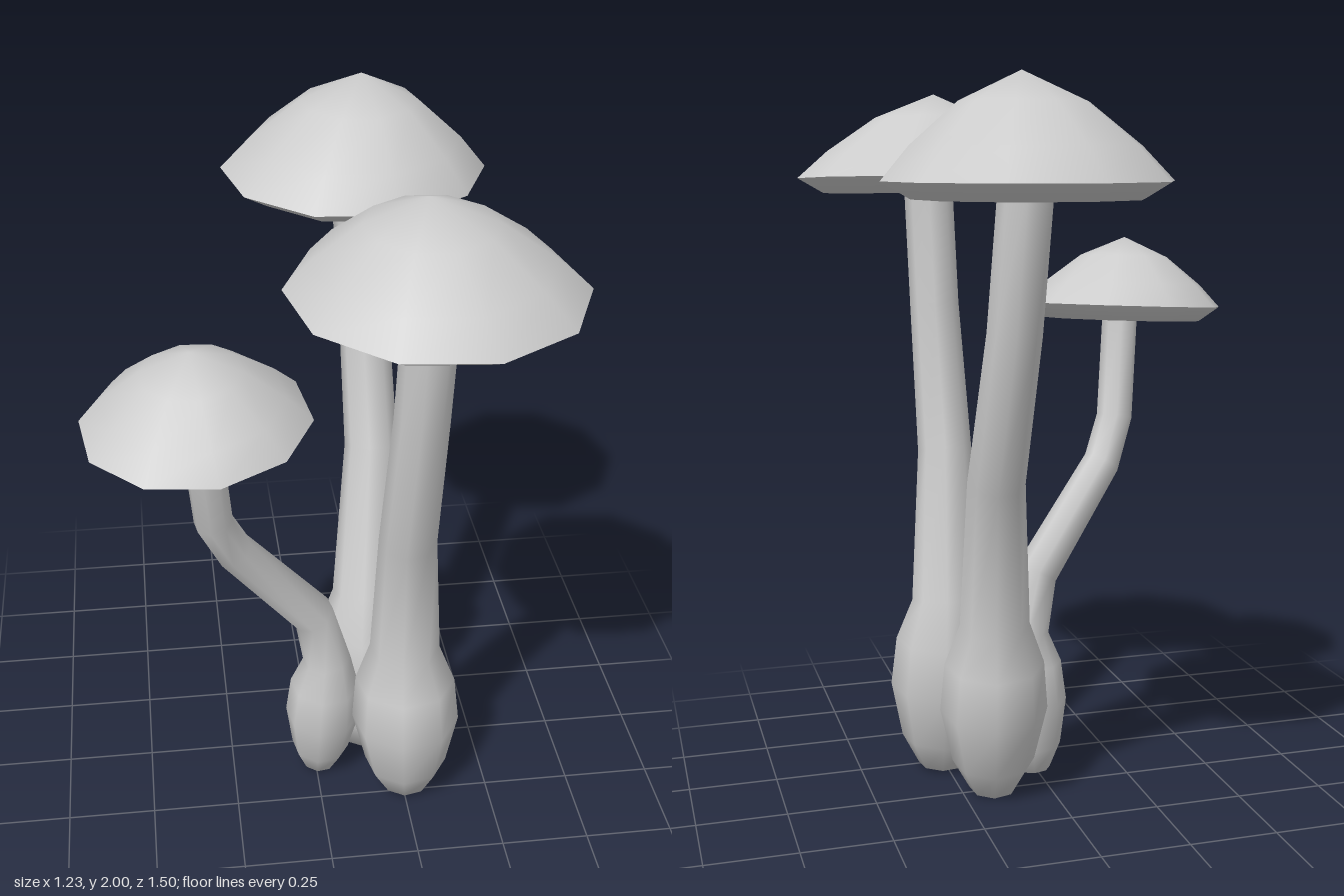
import * as THREE from 'three';
import { toCreasedNormals } from 'three/addons/utils/BufferGeometryUtils.js';

const material = new THREE.MeshStandardMaterial({ color: 0xcccccc });

// Swollen foot: [share of foot height, share of bulb radius]
const footProfile = [[0, 0], [0.02, 0.45], [0.19, 0.77], [0.5, 1], [0.77, 0.92], [1, 0.64]];
// Domed top of the cap: [share of cap radius, share of cap height]
const domeProfile = [[1, 0], [0.79, 0.32], [0.44, 0.72], [0, 1]];

// Skin a surface over rings { centre, radius }, listed so the skin faces outward.
// With bend = true each ring is turned square to the path.
function loft(rings, sides, turn, bend) {
  const up = new THREE.Vector3(0, 1, 0);
  const positions = [], index = [];
  rings.forEach(({ centre, radius }, i) => {
    const q = new THREE.Quaternion();
    if (bend) {
      const before = rings[Math.max(i - 1, 0)].centre;
      const after = rings[Math.min(i + 1, rings.length - 1)].centre;
      q.setFromUnitVectors(up, after.clone().sub(before).normalize());
    }
    for (let s = 0; s < sides; s++) {
      const a = turn + (s / sides) * Math.PI * 2;
      const p = new THREE.Vector3(radius * Math.cos(a), 0, radius * Math.sin(a));
      positions.push(...p.applyQuaternion(q).add(centre));
    }
    if (i === 0) return;
    for (let s = 0; s < sides; s++) {
      const a = (i - 1) * sides + s, b = (i - 1) * sides + (s + 1) % sides;
      if (rings[i - 1].radius > 0) index.push(a, a + sides, b);
      if (radius > 0) index.push(b, a + sides, b + sides);
    }
  });
  const geometry = new THREE.BufferGeometry();
  geometry.setAttribute('position', new THREE.Float32BufferAttribute(positions, 3));
  geometry.setIndex(index);
  return toCreasedNormals(geometry, 1);
}

// Foot swells between base and neck, then the stem thins along its knots
function createStalk({ base, knots, bulb, stem }) {
  const start = new THREE.Vector3(...base);
  const path = knots.map((k) => new THREE.Vector3(...k));
  const [neck, ...bends] = path;
  const top = path[path.length - 1];
  const neckRadius = bulb * footProfile[footProfile.length - 1][1];

  const rings = footProfile.map(([t, r]) => ({ centre: start.clone().lerp(neck, t), radius: bulb * r }));
  for (const centre of bends) {
    const t = (centre.y - neck.y) / (top.y - neck.y);
    rings.push({ centre, radius: stem + (neckRadius - stem) * (1 - t) ** 3 });
  }
  const stalk = new THREE.Mesh(loft(rings, 8, 0.2, true), material);
  stalk.name = 'stalk';
  return stalk;
}

// Shallow underside, turned-under rim and dome whose tip may sit off centre
function createCap({ rim, radius, height, lean = 0, turn, tiltX = 0, tiltZ = 0 }) {
  const ring = (r, y, x = 0) => ({ centre: new THREE.Vector3(x, y, 0), radius: r });
  const rings = [
    ring(0, 0),
    ring(radius * 0.8, -0.043),
    ...domeProfile.map(([r, h]) => ring(radius * r, height * h, lean * h)),
  ];
  const cap = new THREE.Mesh(loft(rings, 10, turn, false), material);
  cap.name = 'cap';
  cap.position.set(...rim);
  cap.rotation.set(tiltX, 0, tiltZ);
  return cap;
}

function createMushroom(name, stalk, cap) {
  const mushroom = new THREE.Group();
  mushroom.name = name;
  mushroom.add(createStalk(stalk), createCap(cap));
  return mushroom;
}

export function createModel() {
  const group = new THREE.Group();
  group.name = 'mushroomCluster';
  group.add(
    createMushroom('frontMushroom', {
      base: [0.26, 0, 0.22], bulb: 0.156, stem: 0.07,
      knots: [[0.245, 0.52, 0.2], [0.225, 0.95, 0.285], [0.23, 1.37, 0.375], [0.24, 1.74, 0.395]],
    }, {
      rim: [0.25, 1.735, 0.39], radius: 0.365, height: 0.235, lean: -0.03, turn: 0.1, tiltX: 0.03,
    }),
    createMushroom('backMushroom', {
      base: [0.16, 0, 0], bulb: 0.152, stem: 0.07,
      knots: [[0.17, 0.52, -0.07], [0.2, 0.95, -0.21], [0.19, 1.36, -0.36], [0.165, 1.74, -0.385]],
    }, {
      rim: [0.16, 1.737, -0.395], radius: 0.365, height: 0.263, lean: 0.02, turn: 0.1,
    }),
    createMushroom('leftMushroom', {
      base: [0.01, 0, 0.1], bulb: 0.11, stem: 0.052,
      knots: [
        [0.03, 0.43, 0.12], [-0.01, 0.6, 0.13], [-0.235, 0.9, 0.21],
        [-0.29, 1.03, 0.255], [-0.318, 1.35, 0.29],
      ],
    }, {
      rim: [-0.325, 1.36, 0.29], radius: 0.295, height: 0.2, turn: 0.17, tiltX: 0.07, tiltZ: 0.05,
    }),
  );
  return group;
}
